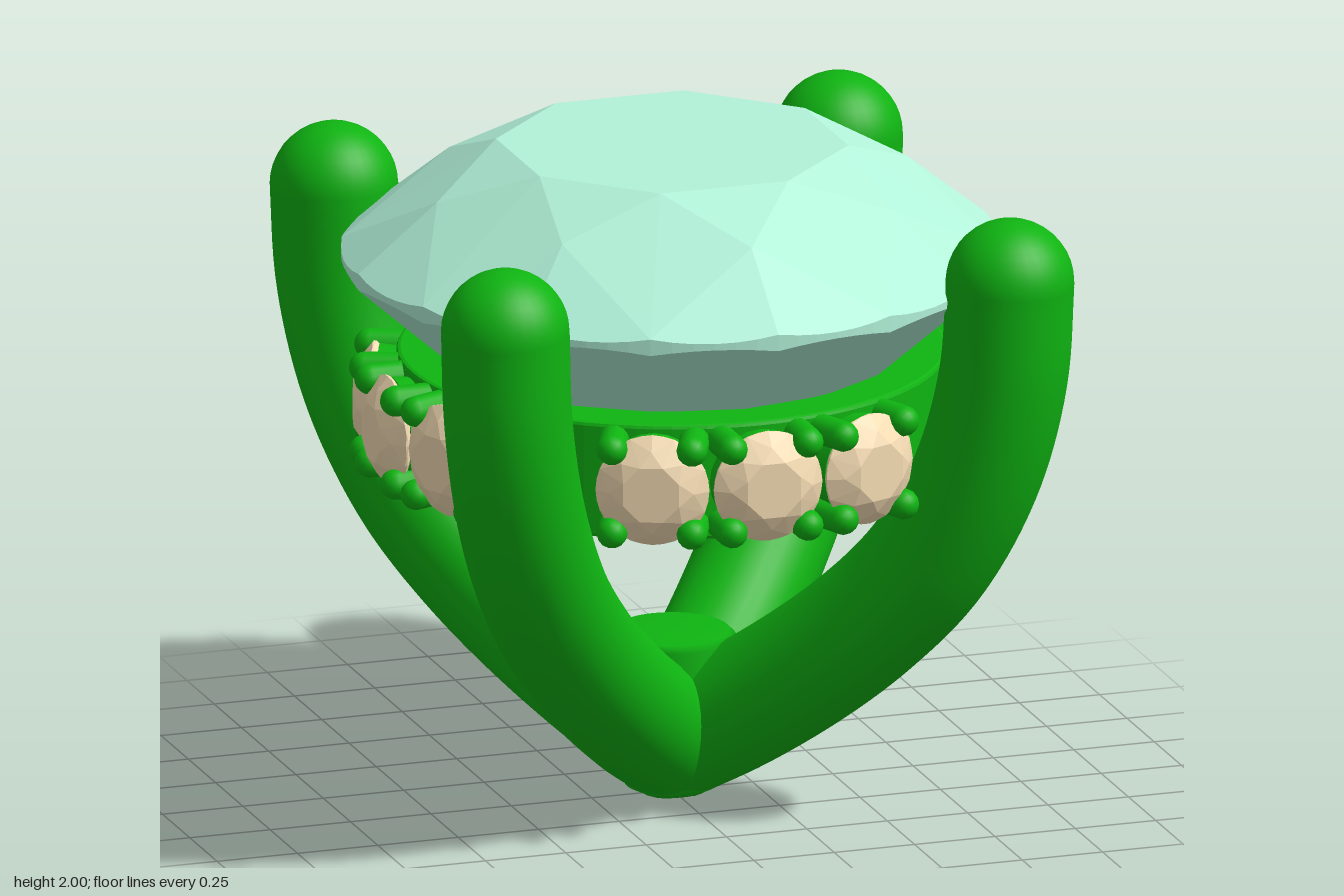
import * as THREE from 'three';

const metal = new THREE.MeshStandardMaterial({ color: 0x0fb412 });
const mint = new THREE.MeshStandardMaterial({ color: 0xb2f2d9, flatShading: true });
const cream = new THREE.MeshStandardMaterial({ color: 0xf7deb5, flatShading: true });

function add(parent, name, geometry, material) {
  const mesh = new THREE.Mesh(geometry, material);
  mesh.name = name;
  parent.add(mesh);
  return mesh;
}

// Round brilliant cut of radius 1, table towards +y, girdle around y = 0
function brilliant(arcSteps) {
  const pos = [];
  const at = (r, a, y) => new THREE.Vector3(r * Math.sin(a), y, r * Math.cos(a));
  const tri = (a, b, c) => {
    const n = b.clone().sub(a).cross(c.clone().sub(a));
    const outward = n.dot(a.clone().add(b).add(c)) > 0;
    for (const p of outward ? [a, b, c] : [a, c, b]) pos.push(p.x, p.y, p.z);
  };
  const half = Math.PI / 8;
  const top = new THREE.Vector3(0, 0.345, 0), culet = new THREE.Vector3(0, -0.895, 0);
  for (let k = 0; k < 8; k++) {
    const mid = k * 2 * half, l = mid - half, r = mid + half;
    const tableL = at(0.533, l, 0.345), tableR = at(0.533, r, 0.345);
    const star = at(0.75, mid, 0.228), nextStar = at(0.75, mid + 2 * half, 0.228);
    const low = at(0.25, mid, -0.69), nextLow = at(0.25, mid + 2 * half, -0.69);
    tri(top, tableL, tableR);
    tri(star, tableL, tableR);
    // kite facets of crown and pavilion
    const upper = at(1, r, 0.026), lower = at(1, r, -0.026);
    tri(tableR, star, upper);
    tri(tableR, nextStar, upper);
    tri(culet, low, lower);
    tri(culet, nextLow, lower);
    // half facets with the scalloped girdle between them
    for (const start of [l, mid]) {
      for (let i = 0; i < arcSteps; i++) {
        const [p, q] = [i, i + 1].map((j) => {
          const t = j / arcSteps, a = start + half * t;
          const dip = 0.016 * 4 * t * (1 - t);
          return [at(1, a, 0.026 - dip), at(1, a, -0.026 + dip)];
        });
        tri(star, p[0], q[0]);
        tri(low, p[1], q[1]);
        tri(p[0], p[1], q[1]);
        tri(p[0], q[1], q[0]);
      }
    }
  }
  const g = new THREE.BufferGeometry();
  g.setAttribute('position', new THREE.Float32BufferAttribute(pos, 3));
  g.computeVertexNormals();
  return g;
}

export function createModel() {
  const root = new THREE.Group();
  root.name = 'gemSetting';

  // Main gem
  const gem = add(root, 'mainGem', brilliant(6), mint);
  gem.scale.setScalar(0.975);
  gem.position.y = 1.664;

  // Four curved claws on the diagonals
  const path = [[0, 0.17], [0.15, 0.29], [0.32, 0.455], [0.46, 0.62], [0.58, 0.8],
    [0.67, 1.0], [0.73, 1.2], [0.772, 1.45], [0.785, 1.72]];
  const curve = new THREE.CatmullRomCurve3(
    path.map(([x, y]) => new THREE.Vector3(0, y, x * Math.SQRT2)));
  const tube = new THREE.TubeGeometry(curve, 48, 0.19, 32);
  const tip = new THREE.SphereGeometry(0.19, 32, 20);
  for (let i = 0; i < 4; i++) {
    const claw = new THREE.Group();
    claw.name = 'claw';
    claw.rotation.y = Math.PI / 4 + i * Math.PI / 2;
    add(claw, 'clawShaft', tube, metal);
    add(claw, 'clawTip', tip, metal).position.set(0, 1.72, 0.785 * Math.SQRT2);
    root.add(claw);
  }

  // Post joining the claws at the bottom
  const postProfile = [[0, 0.01], [0.1, 0.01], [0.14, 0.03], [0.18, 0.12], [0.19, 0.2],
    [0.19, 0.48], [0.17, 0.5], [0, 0.5]];
  add(root, 'basePost', new THREE.LatheGeometry(
    postProfile.map(([x, y]) => new THREE.Vector2(x, y)), 40), metal);

  // Gallery ring under the gem
  const ring = new THREE.Shape().absarc(0, 0, 0.8, 0, Math.PI * 2);
  ring.holes.push(new THREE.Path().absarc(0, 0, 0.515, 0, Math.PI * 2, true));
  const ringGeo = new THREE.ExtrudeGeometry(ring, {
    depth: 0.33, bevelThickness: 0.012, bevelSize: 0.012, bevelSegments: 2, curveSegments: 48,
  });
  ringGeo.rotateX(-Math.PI / 2);
  add(root, 'galleryRing', ringGeo, metal).position.y = 1.033;

  // Accent stones, three between each pair of claws, each held by four beads
  const stoneGeo = brilliant(2).rotateX(Math.PI / 2);
  const seatGeo = new THREE.CylinderGeometry(0.16, 0.14, 0.2, 24).rotateX(Math.PI / 2);
  const beadGeo = new THREE.CapsuleGeometry(0.046, 0.14, 6, 14).rotateX(Math.PI / 2);
  for (let i = 0; i < 16; i++) {
    if (i % 4 === 2) continue; // claw positions
    const setting = new THREE.Group();
    setting.name = 'accentSetting';
    setting.rotation.y = i * Math.PI / 8;
    setting.position.y = 1.197;
    const stone = add(setting, 'accentStone', stoneGeo, cream);
    stone.scale.setScalar(0.168);
    stone.position.z = 0.88;
    add(setting, 'stoneSeat', seatGeo, metal).position.z = 0.765;
    for (const sx of [-1, 1]) {
      for (const sy of [-1, 1]) {
        add(setting, 'bead', beadGeo, metal).position.set(sx * 0.118, sy * 0.128, 0.83);
      }
    }
    root.add(setting);
  }
  return root;
}
